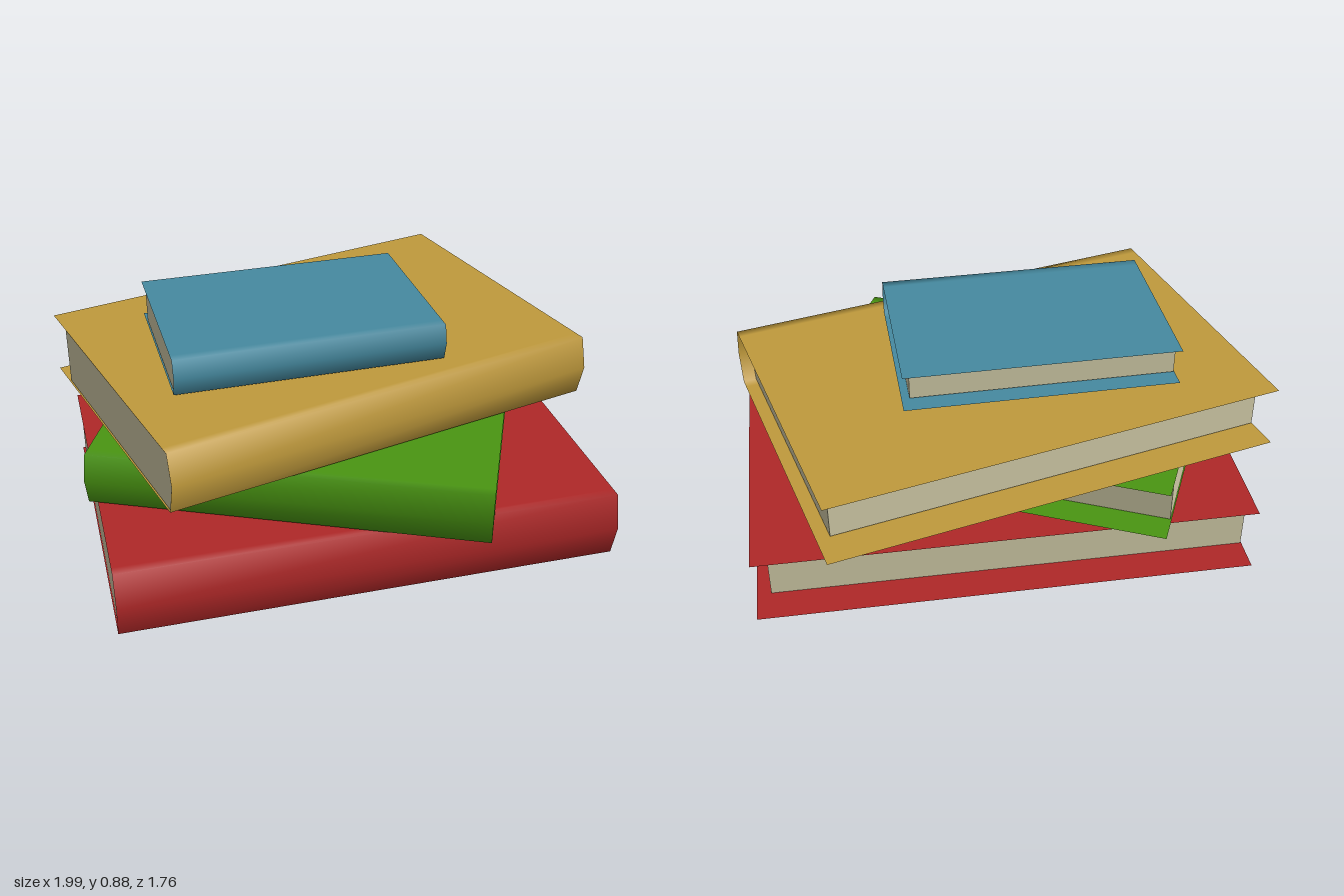
import * as THREE from 'three';

// Books from bottom to top: y range, centre, turn in degrees, length (x), depth (z),
// page inset at the open edge and at the right end
const BOOKS = [
  { name: 'redBook', color: 0xb02828, y0: 0.0, y1: 0.267, x: 0.03, z: 0.05, turn: 0, length: 1.92, depth: 1.32, open: 0.13, end: 0.055 },
  { name: 'greenBook', color: 0x4a9612, y0: 0.275, y1: 0.482, x: -0.07, z: 0.085, turn: -24.7, length: 1.51, depth: 1.04, open: 0.11, end: 0.05 },
  { name: 'yellowBook', color: 0xc09a3c, y0: 0.49, y1: 0.73, x: 0, z: -0.09, turn: 13.9, length: 1.75, depth: 1.2, open: 0.13, end: 0.05 },
  { name: 'blueBook', color: 0x468aa0, y0: 0.74, y1: 0.88, x: -0.12, z: -0.03, turn: 1.1, length: 1.03, depth: 0.7, open: 0.07, end: 0.03 },
];

// Thin sheet folded around the pages along a [z, y] profile, with smooth normals over the spine
function coverGeometry(profile, length) {
  const positions = [];
  const indices = [];
  profile.forEach(([z, y], i) => {
    positions.push(-length / 2, y, z, length / 2, y, z);
    if (i < profile.length - 1) {
      const a = i * 2;
      indices.push(a, a + 1, a + 3, a, a + 3, a + 2);
    }
  });
  const geometry = new THREE.BufferGeometry();
  geometry.setAttribute('position', new THREE.Float32BufferAttribute(positions, 3));
  geometry.setIndex(indices);
  geometry.computeVertexNormals();
  return geometry;
}

// Solid page block: a [z, y] outline extruded from x0 to x1
function pagesGeometry(outline, x0, x1) {
  const shape = new THREE.Shape(outline.map(([z, y]) => new THREE.Vector2(-z, y)));
  const geometry = new THREE.ExtrudeGeometry(shape, { depth: x1 - x0, bevelEnabled: false });
  return geometry.rotateY(Math.PI / 2).translate(x0, 0, 0);
}

function createBook(b) {
  const book = new THREE.Group();
  book.name = b.name;
  const h = b.y1 - b.y0;
  const back = -b.depth / 2;
  const apex = b.depth / 2;
  const bulge = h * 0.125;
  const fold = apex - bulge;
  const gap = 0.004;

  // Cover: bottom board, pointed spine, top board
  const profile = [
    [back, 0], [fold - 0.04, 0], [fold, 0],
    [apex, h / 2],
    [fold, h], [fold - 0.04, h], [back, h],
  ];
  const cover = new THREE.Mesh(
    coverGeometry(profile, b.length),
    new THREE.MeshStandardMaterial({ color: b.color, side: THREE.DoubleSide })
  );
  cover.name = 'cover';

  // Pages: same section, set back from the open edge and the right end
  const outline = [
    [back + b.open, gap], [fold - gap, gap], [apex - gap, h / 2],
    [fold - gap, h - gap], [back + b.open, h - gap],
  ];
  const pages = new THREE.Mesh(
    pagesGeometry(outline, -b.length / 2 + 0.005, b.length / 2 - b.end),
    new THREE.MeshStandardMaterial({ color: 0xcfc9a6, side: THREE.DoubleSide })
  );
  pages.name = 'pages';

  book.add(cover, pages);
  book.position.set(b.x, b.y0, b.z);
  book.rotation.y = THREE.MathUtils.degToRad(b.turn);
  return book;
}

export function createModel() {
  const stack = new THREE.Group();
  stack.name = 'bookStack';
  BOOKS.forEach((b) => stack.add(createBook(b)));
  return stack;
}
